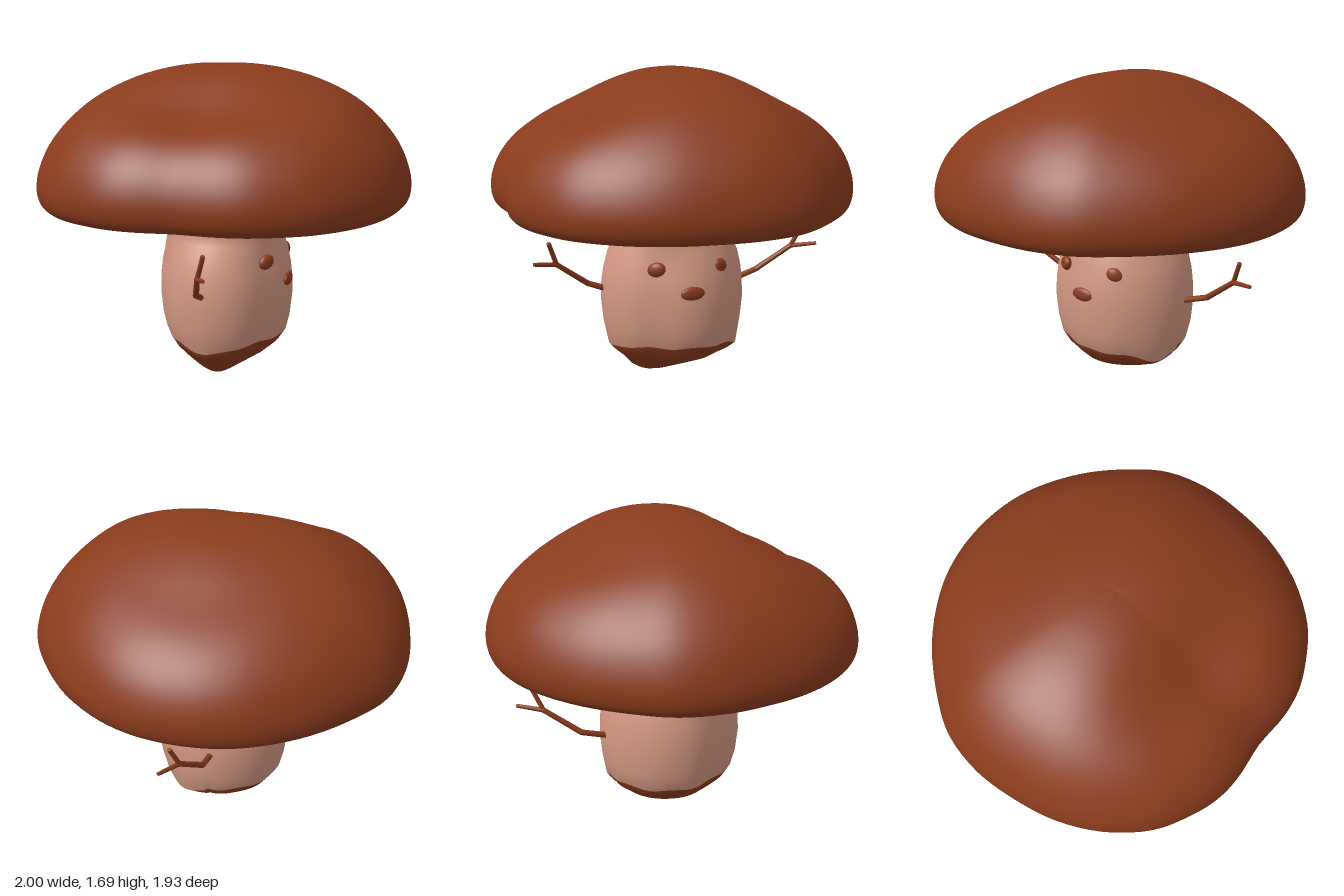
import * as THREE from 'three';

const mat = (name, color, side = THREE.FrontSide) => {
  const m = new THREE.MeshStandardMaterial({ color, side });
  m.name = name;
  return m;
};
const bump = (v, centre, width) => Math.exp(-(((v - centre) / width) ** 2));

// Closed rings of points, top to bottom; rings from splitRow on take a second material.
function loft(rows, segs, pointAt, splitRow = rows - 1) {
  const pos = [], idx = [];
  for (let i = 0; i < rows; i++)
    for (let j = 0; j < segs; j++) pos.push(...pointAt(i, j / segs));
  for (let i = 0; i < rows - 1; i++)
    for (let j = 0; j < segs; j++) {
      const k = (j + 1) % segs;
      const a = i * segs + j, b = i * segs + k;
      idx.push(a, a + segs, b, b, a + segs, b + segs);
    }
  const g = new THREE.BufferGeometry();
  g.setAttribute('position', new THREE.Float32BufferAttribute(pos, 3));
  g.setIndex(idx);
  const split = splitRow * segs * 6;
  g.addGroup(0, split, 0);
  if (split < idx.length) g.addGroup(split, idx.length - split, 1);
  g.computeVertexNormals();
  return g;
}

function capGeometry() {
  // Half of the plan outline, front to back, mirrored into a closed curve
  const half = [[0, 0.947], [0.21, 0.961], [0.36, 0.943], [0.52, 0.88], [0.68, 0.78], [0.84, 0.59],
    [0.945, 0.36], [0.99, 0.12], [0.997, -0.1], [0.945, -0.33], [0.84, -0.5], [0.64, -0.72],
    [0.4, -0.88], [0.2, -0.95], [0, -0.97]];
  const all = [...half, ...half.slice(1, -1).reverse().map(([x, z]) => [-x, z])];
  const outline = new THREE.CatmullRomCurve3(all.map(([x, z]) => new THREE.Vector3(x, 0, z)), true);
  const segs = 112;
  const ring = Array.from({ length: segs }, (_, j) => outline.getPoint(j / segs));
  // Radius fraction and height, ending in the inner wall of the underside
  const prof = [[0, 1.69], [0.15, 1.685], [0.3, 1.665], [0.5, 1.61], [0.7, 1.51], [0.85, 1.378],
    [0.95, 1.235], [1, 1.07], [0.985, 0.975], [0.94, 0.937], [0.87, 0.93], [0.7, 0.93], [0.53, 0.93],
    [0.52, 0.94], [0.52, 1]];
  const pts = new THREE.CatmullRomCurve3(prof.map(([f, y]) => new THREE.Vector3(f, y, 0))).getPoints(56);
  return loft(pts.length, segs, (i, t) => {
    const p = ring[Math.round(t * segs)], { x: f, y } = pts[i];
    const x = p.x * f, z = p.z * f;
    const top = THREE.MathUtils.smoothstep(y, 1.05, 1.3);
    const along = p.z * p.z / (p.x * p.x + p.z * p.z);
    const sag = 0.075 * along * bump(f, 0.6, 0.3);
    const hollow = 0.06 * bump(x, 0, 0.42) * bump(z, 0.52, 0.25);
    return [x, y - top * (sag + hollow), z];
  });
}

function stemGeometry() {
  // y, x radius, z centre, z radius
  const rows = [[0.985, 0.55, 0, 0.55], [0.96, 0.44, 0.01, 0.44], [0.93, 0.355, 0.015, 0.355],
    [0.87, 0.325, 0.015, 0.327], [0.8, 0.312, 0.015, 0.317], [0.75, 0.33, 0.015, 0.335],
    [0.68, 0.352, 0.016, 0.365], [0.6, 0.369, 0.018, 0.385], [0.52, 0.378, 0.02, 0.396],
    [0.42, 0.38, 0.02, 0.4], [0.3, 0.367, 0.02, 0.388], [0.2, 0.345, 0.018, 0.364],
    [0.15, 0.305, 0.02, 0.33], [0.1, 0.235, 0.03, 0.275], [0.05, 0.135, 0.085, 0.18],
    [0.02, 0.075, 0.12, 0.1], [0.003, 0.025, 0.15, 0.03], [0, 0, 0.155, 0]];
  return loft(rows.length, 96, (i, t) => {
    const [y, rx, cz, rz] = rows[i];
    const a = (t < 0.5 ? t : t - 1) * Math.PI * 2;
    // Uneven upper edge of the earthy foot
    const wave = 0.012 - 0.04 * bump(a, 0, 0.4) - 0.055 * bump(a, 2.7, 0.4) + 0.005 * Math.sin(9 * a);
    // Body is flattened on its two front corners
    const flat = 0.1 * bump(Math.abs(a), 1.05, 0.45) * (1 - THREE.MathUtils.smoothstep(y, 0.68, 0.8));
    return [Math.sin(a) * rx * (1 - flat), y + wave * bump(y, 0.2, 0.06), cz + Math.cos(a) * rz * (1 - flat)];
  }, 11);
}

// Flat ring with a ragged outer edge, off centre towards the face
function gillGeometry() {
  const pts = [];
  for (let i = 0; i < 96; i++) {
    const a = i / 96 * Math.PI * 2;
    const r = 0.78 + 0.018 * Math.sin(5 * a) + 0.018 * Math.sin(9 * a + 1) + 0.01 * Math.sin(16 * a);
    pts.push(new THREE.Vector2(0.085 + Math.cos(a) * r, 0.05 + Math.sin(a) * r));
  }
  const shape = new THREE.Shape(pts);
  shape.holes.push(new THREE.Path().absarc(0, 0, 0.49, 0, Math.PI * 2, true));
  return new THREE.ShapeGeometry(shape, 48).rotateX(Math.PI / 2).translate(0, 0.926, 0);
}

export function createModel() {
  const model = new THREE.Group();
  const brown = mat('brown', 0x8a3b1c);
  const pink = mat('pink', 0xd39882);
  const mustard = mat('mustard', 0xdb861c, THREE.DoubleSide);
  const add = (name, geo, material, parent = model) => {
    const m = new THREE.Mesh(geo, material);
    m.name = name;
    parent.add(m);
    return m;
  };

  add('cap', capGeometry(), brown);
  add('gills', gillGeometry(), mustard);
  add('stem', stemGeometry(), [pink, brown]);

  // Face on the +x side
  const blob = (name, p, s, tilt = 0) => {
    const m = add(name, new THREE.SphereGeometry(1, 24, 16), brown);
    m.position.set(...p);
    m.scale.set(...s);
    m.rotation.set(tilt, -Math.atan2(p[2] - 0.02, p[0]), 0, 'YXZ');
  };
  blob('leftEye', [0.28, 0.655, 0.207], [0.026, 0.039, 0.05], 0.3);
  blob('rightEye', [0.31, 0.655, -0.14], [0.026, 0.039, 0.048], -0.5);
  blob('nose', [0.363, 0.53, 0.035], [0.02, 0.037, 0.067]);

  // Twig arms, forked at the end
  const twig = (arm, a, b, r0, r1) => {
    const from = new THREE.Vector3(...a), to = new THREE.Vector3(...b);
    const dir = to.clone().sub(from);
    const m = add('twig', new THREE.CylinderGeometry(r1, r0, dir.length(), 10), brown, arm);
    m.position.copy(from).add(to).multiplyScalar(0.5);
    m.quaternion.setFromUnitVectors(new THREE.Vector3(0, 1, 0), dir.normalize());
  };
  const arms = {
    frontArm: [[-0.02, 0.475, 0.36], [-0.02, 0.53, 0.5], [0.045, 0.67, 0.685], [0.09, 0.8, 0.735], [0.115, 0.7, 0.82]],
    backArm: [[-0.02, 0.455, -0.33], [-0.02, 0.51, -0.51], [0.045, 0.65, -0.7], [0.08, 0.77, -0.75], [0.115, 0.67, -0.83]],
  };
  for (const [name, [shoulder, elbow, wrist, upper, outer]] of Object.entries(arms)) {
    const arm = new THREE.Group();
    arm.name = name;
    model.add(arm);
    twig(arm, shoulder, elbow, 0.017, 0.016);
    twig(arm, elbow, wrist, 0.016, 0.014);
    twig(arm, wrist, upper, 0.013, 0.012);
    twig(arm, wrist, outer, 0.013, 0.01);
    for (const p of [elbow, wrist])
      add('joint', new THREE.SphereGeometry(0.0155, 10, 8), brown, arm).position.set(...p);
  }
  return model;
}
